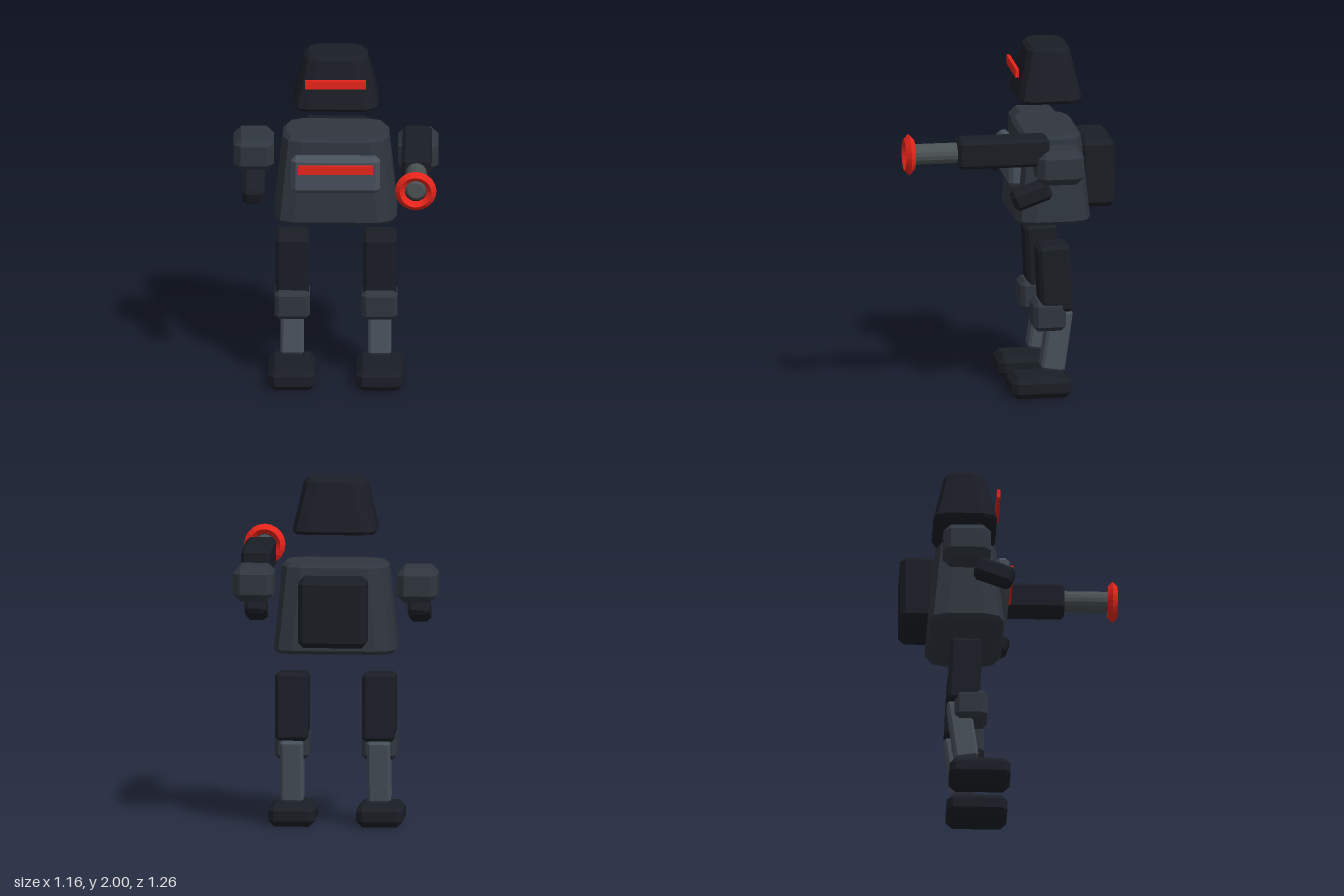
import * as THREE from 'three';

const mat = (color) => new THREE.MeshStandardMaterial({ color, flatShading: true });

// Closed outline of a rectangle with cut (steps = 1) or rounded (steps > 1) corners
function outline(hx, hz, corner, steps) {
  const pts = [];
  for (let q = 0; q < 4; q++) {
    const sx = q === 0 || q === 3 ? 1 : -1;
    const sz = q < 2 ? 1 : -1;
    for (let s = 0; s <= steps; s++) {
      const a = (q + s / steps) * Math.PI / 2;
      pts.push([sx * (hx - corner) + Math.cos(a) * corner, sz * (hz - corner) + Math.sin(a) * corner]);
    }
  }
  return pts;
}

// Bevelled block centred on the origin; the top may be narrower than the base
function blockGeometry(w, h, d, bevel, { topW = w, topD = d, corner = bevel, steps = 1 } = {}) {
  const endCorner = Math.max(corner - bevel, bevel * 0.1);
  const levels = [[0, bevel, endCorner], [bevel, 0, corner], [h - bevel, 0, corner], [h, bevel, endCorner]];
  const verts = [];
  const index = [];
  const n = 4 * (steps + 1);
  for (const [y, inset, c] of levels) {
    const t = y / h;
    const hx = (w + (topW - w) * t) / 2 - inset;
    const hz = (d + (topD - d) * t) / 2 - inset;
    for (const [x, z] of outline(hx, hz, c, steps)) verts.push(x, y - h / 2, z);
  }
  for (let i = 0; i < levels.length - 1; i++) {
    for (let j = 0; j < n; j++) {
      const k = (j + 1) % n;
      const a = i * n + j, b = i * n + k;
      index.push(a, a + n, b, b, a + n, b + n);
    }
  }
  // Caps
  const top = (levels.length - 1) * n;
  for (let j = 1; j < n - 1; j++) {
    index.push(0, j, j + 1);
    index.push(top, top + j + 1, top + j);
  }
  const geo = new THREE.BufferGeometry();
  geo.setAttribute('position', new THREE.Float32BufferAttribute(verts, 3));
  geo.setIndex(index);
  const flat = geo.toNonIndexed();
  flat.computeVertexNormals();
  return flat;
}

export function createModel() {
  const model = new THREE.Group();
  model.name = 'robot';
  const dark = mat(0x1a1e25);
  const mid = mat(0x30363f);
  const light = mat(0x48505a);
  const steel = mat(0x4a5152);
  const red = mat(0xe8241a);

  function add(name, geometry, material, x, y, z, rx = 0, parent = model) {
    const mesh = new THREE.Mesh(geometry, material);
    mesh.name = name;
    mesh.position.set(x, y, z);
    mesh.rotation.x = rx;
    parent.add(mesh);
    return mesh;
  }

  // Head and visor
  add('head', blockGeometry(0.49, 0.31, 0.37, 0.018, { topW: 0.35, topD: 0.235, corner: 0.08, steps: 2 }),
    dark, 0, 1.845, -0.26);
  add('visor', new THREE.BoxGeometry(0.345, 0.05, 0.02), red, 0, 1.865, -0.07);

  // Torso, chest plate and backpack
  add('torso', blockGeometry(0.7, 0.51, 0.44, 0.02, { topW: 0.6, topD: 0.34, corner: 0.11, steps: 2 }),
    mid, 0, 1.265, -0.26);
  add('chestPlate', blockGeometry(0.505, 0.22, 0.08, 0.025), light, 0, 1.325, -0.05);
  add('chestStripe', new THREE.BoxGeometry(0.425, 0.05, 0.02), red, 0, 1.37, 0.002);
  add('backpack', blockGeometry(0.39, 0.395, 0.2, 0.03), dark, 0, 1.263, -0.53);

  // Arms and legs, mirrored
  const shoulder = blockGeometry(0.23, 0.2, 0.27, 0.042);
  const forearm = blockGeometry(0.124, 0.11, 0.225, 0.022);
  const thigh = blockGeometry(0.19, 0.39, 0.185, 0.02);
  const knee = blockGeometry(0.202, 0.17, 0.185, 0.025);
  const shin = blockGeometry(0.132, 0.36, 0.135, 0.015);
  const foot = blockGeometry(0.265, 0.125, 0.345, 0.034);
  for (const [side, s] of [['left', 1], ['right', -1]]) {
    const arm = new THREE.Group();
    arm.name = side + 'Arm';
    add(side + 'Shoulder', shoulder, mid, s * 0.467, 1.395, -0.263, 0, arm);
    add(side + 'Forearm', forearm, dark, s * 0.465, 1.227, -0.105, 0.35, arm);
    const leg = new THREE.Group();
    leg.name = side + 'Leg';
    add(side + 'Thigh', thigh, dark, s * 0.248, 0.688, -0.267, 0.05, leg);
    add(side + 'Knee', knee, mid, s * 0.248, 0.472, -0.233, 0, leg);
    add(side + 'Shin', shin, light, s * 0.248, 0.325, -0.28, -0.14, leg);
    add(side + 'Foot', foot, dark, s * 0.25, 0.0625, -0.182, 0, leg);
    model.add(arm, leg);
  }

  // Shoulder cannon on the left side
  const cannon = new THREE.Group();
  cannon.name = 'cannon';
  cannon.position.set(0.463, 1.488, 0);
  add('cannonHousing', blockGeometry(0.168, 0.165, 0.525, 0.02), dark, 0, 0, 0.062, 0, cannon);
  const barrelProfile = [[0, 0], [0.06, 0], [0.06, 0.285], [0.045, 0.295], [0, 0.295]]
    .map(([r, y]) => new THREE.Vector2(r, y));
  add('cannonBarrel', new THREE.LatheGeometry(barrelProfile, 16), steel, 0, 0, 0.3, Math.PI / 2, cannon);
  add('muzzleRing', new THREE.TorusGeometry(0.09, 0.028, 4, 20), red, 0, 0, 0.598, 0, cannon);
  model.add(cannon);

  model.position.x = -0.003;
  return model;
}
